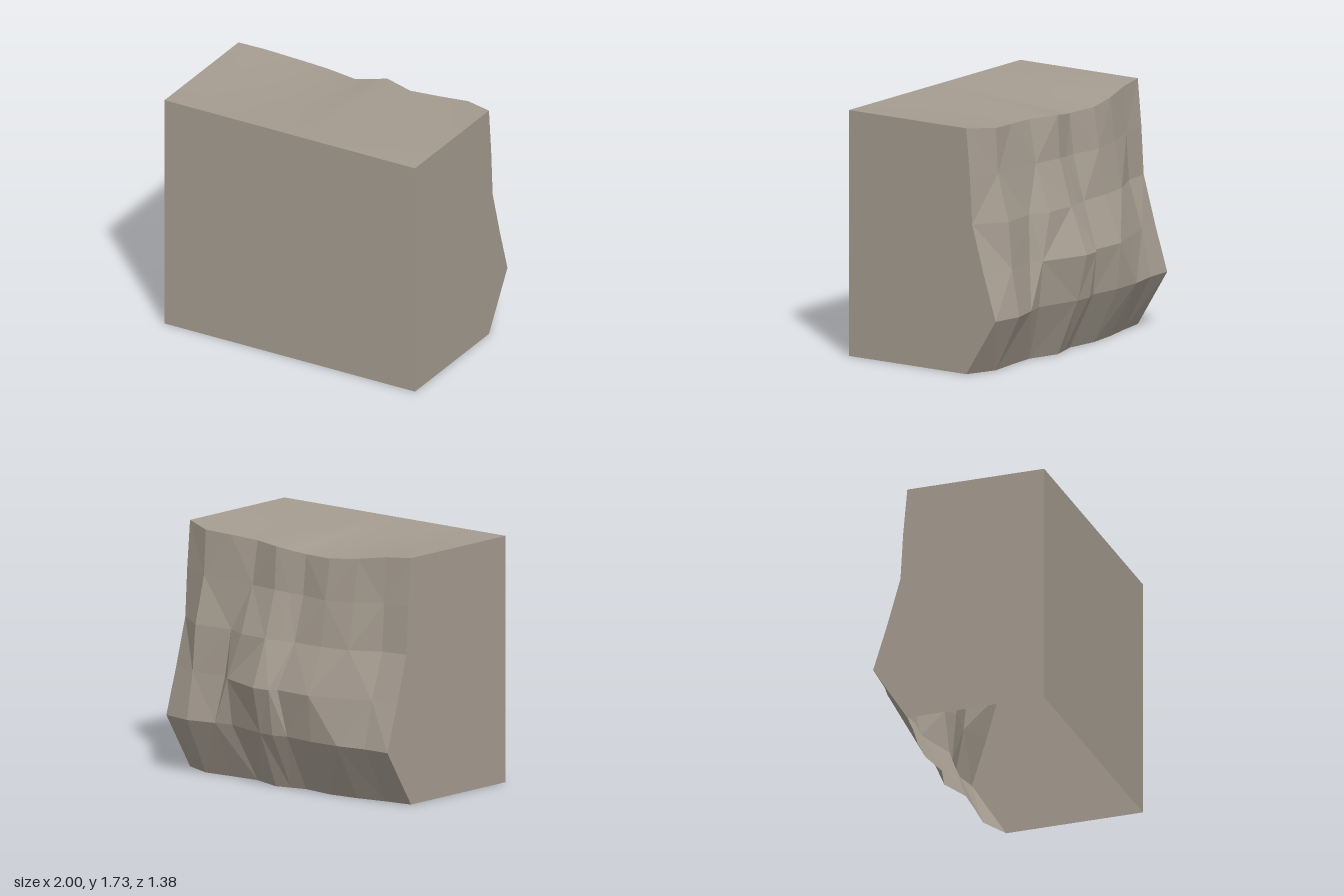
import * as THREE from 'three';

const FRONT = 0.69, HEIGHT = 1.73;

// Rock face cross-sections from the ground up: depth and sideways position of each column
const columns = [-1, -0.8, -0.58, -0.35, -0.11, 0, 0.11, 0.34, 0.57, 0.78, 1];
const crest = [0, 0.015, 0.05, 0.075, 0.08, 0.065, 0.045, 0.045, 0.035, 0.025, 0];
const levels = [
  { y: 0, z: [0.31, 0.34, 0.385, 0.41, 0.38, 0.41, 0.44, 0.365, 0.38, 0.4, 0.31] },
  { y: 0.4, z: [0.56, 0.565, 0.605, 0.61, 0.58, 0.62, 0.61, 0.52, 0.55, 0.6, 0.56], shift: { 5: -0.01, 7: 0.1 } },
  { y: 0.73, z: [0.455, 0.49, 0.56, 0.64, 0.625, 0.675, 0.685, 0.56, 0.5, 0.54, 0.455], shift: { 4: 0.05, 5: -0.02, 7: 0.11, 8: -0.05 } },
  { y: 1.06, z: [0.36, 0.38, 0.48, 0.5, 0.5, 0.53, 0.555, 0.54, 0.47, 0.51, 0.36], shift: { 8: -0.08 } },
  { y: 1.4, z: [0.34, 0.36, 0.42, 0.455, 0.41, 0.43, 0.455, 0.42, 0.42, 0.42, 0.34] },
  { y: HEIGHT, z: [0.31, 0.34, 0.385, 0.41, 0.38, 0.41, 0.44, 0.365, 0.38, 0.4, 0.31] },
];

// Surface through rows of points; faceted or smooth
function sheet(rows, smooth) {
  const w = rows[0].length, index = [];
  for (let i = 0; i < rows.length - 1; i++) {
    for (let j = 0; j < w - 1; j++) {
      const a = i * w + j, b = a + 1, c = a + w, d = c + 1;
      if ((i + j) % 2) index.push(a, b, d, a, d, c);
      else index.push(a, b, c, b, d, c);
    }
  }
  let geometry = new THREE.BufferGeometry().setFromPoints(rows.flat());
  geometry.setIndex(index);
  if (!smooth) geometry = geometry.toNonIndexed();
  geometry.computeVertexNormals();
  return geometry;
}

export function createModel() {
  const group = new THREE.Group();
  const stone = new THREE.MeshStandardMaterial({ color: 0xa59c90, side: THREE.DoubleSide });
  stone.name = 'stone';
  const add = (name, rows, smooth = false) => {
    const mesh = new THREE.Mesh(sheet(rows, smooth), stone);
    mesh.name = name;
    group.add(mesh);
  };
  const V = (x, y, z) => new THREE.Vector3(x, y, z);

  const rock = levels.map(({ y, z, shift = {} }) => columns.map((x, j) =>
    V(x + (shift[j] || 0), y - crest[j] * (y / HEIGHT) ** 4, -z[j])));

  // Rugged back
  add('rockFace', rock.map((row) => [...row].reverse()));

  // Top, sagging gently toward the rock face
  const rim = rock[rock.length - 1];
  add('top', [0, 0.25, 0.5, 0.75, 1].map((t) =>
    rim.map((p) => V(p.x, HEIGHT, FRONT).lerp(p, t))), true);

  // Flat front
  add('front', [0, HEIGHT].map((y) => [V(-1, y, FRONT), V(1, y, FRONT)]));

  // Flat sides following the outline of the rock face; the underside is open
  add('leftSide', rock.map((row) => {
    const p = row[row.length - 1];
    return [V(1, p.y, FRONT), p];
  }));
  add('rightSide', rock.map((row) => [row[0], V(-1, row[0].y, FRONT)]));

  return group;
}
